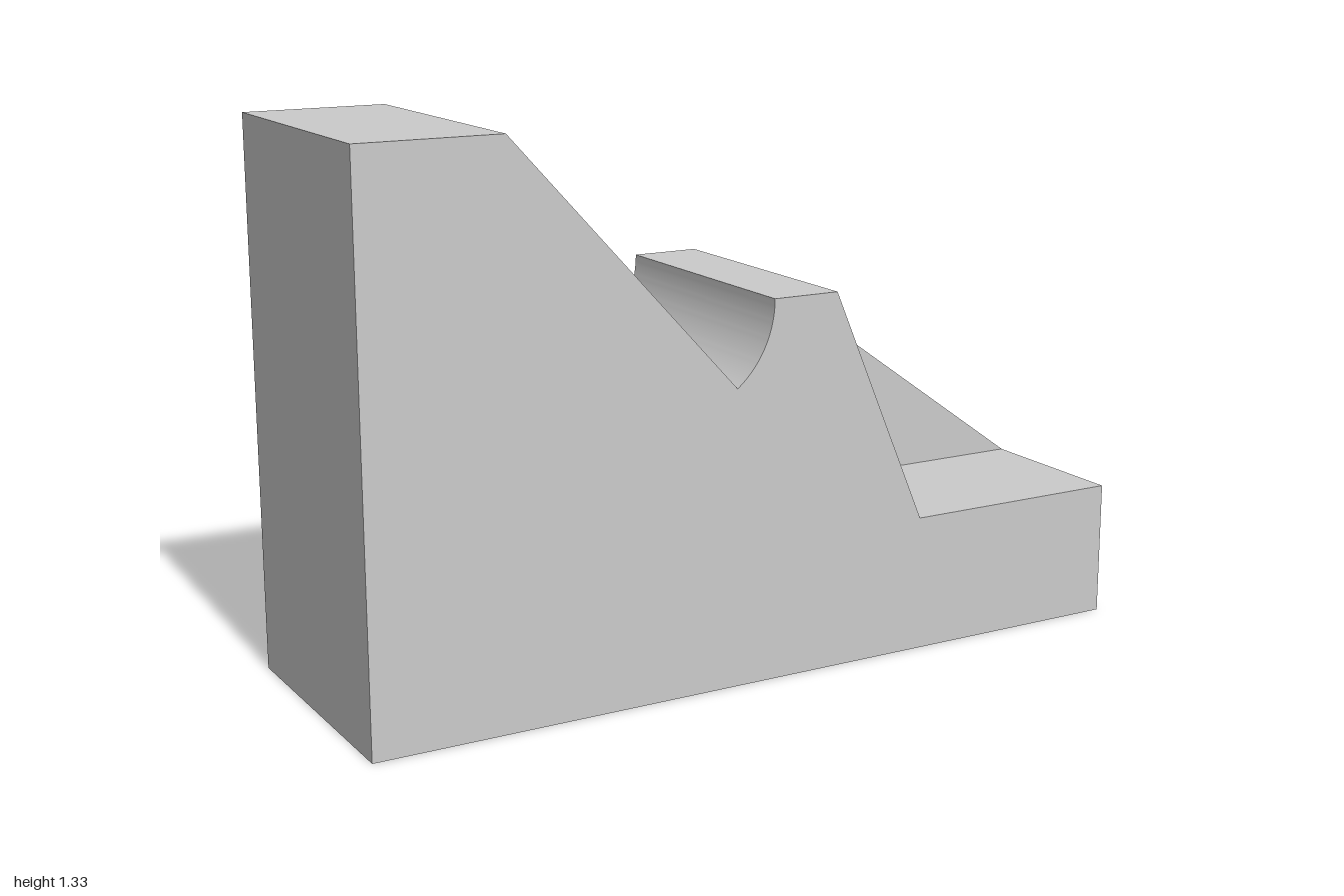
import * as THREE from 'three';
import { toCreasedNormals } from 'three/addons/utils/BufferGeometryUtils.js';

const HALF = 0.333;                 // half the depth
const STEP = 0.333, SEAT = 0.917, TOP = 1.333;
const WALL = -0.655, EDGE = 0.18;   // x of the two upright walls
const GROOVE = { x: -0.24, r: 0.25 };

export function createModel() {
  const group = new THREE.Group();
  const solid = new THREE.MeshStandardMaterial({ color: 0xcccccc });
  const thin = new THREE.MeshStandardMaterial({ color: 0xcccccc, side: THREE.DoubleSide });

  const add = (name, geometry, material, z) => {
    const mesh = new THREE.Mesh(geometry, material);
    mesh.name = name;
    mesh.position.z = z;
    group.add(mesh);
  };
  const extrude = (shape, depth) => toCreasedNormals(
    new THREE.ExtrudeGeometry(shape, { depth, bevelEnabled: false, curveSegments: 48 }), 0.5);
  const polygon = (points) => new THREE.Shape(points.map(([x, y]) => new THREE.Vector2(x, y)));

  // Stepped block with a half-round groove across its seat
  const body = new THREE.Shape();
  body.moveTo(-1, 0);
  body.lineTo(1, 0);
  body.lineTo(1, STEP);
  body.lineTo(EDGE, STEP);
  body.lineTo(EDGE, SEAT);
  body.lineTo(GROOVE.x + GROOVE.r, SEAT);
  body.absarc(GROOVE.x, SEAT, GROOVE.r, 0, Math.PI, true);
  body.lineTo(WALL, SEAT);
  body.lineTo(WALL, TOP);
  body.lineTo(-1, TOP);
  body.closePath();
  add('body', extrude(body, 2 * HALF), solid, -HALF);

  // Sloping rib along the back of the step
  add('rearRib', extrude(polygon([[EDGE, STEP], [1, STEP], [EDGE, SEAT]]), 0.25), solid, -HALF);

  // Thin web on the front face, from the tall block down to the groove
  const web = new THREE.Shape();
  web.moveTo(WALL, TOP);
  web.lineTo(WALL, SEAT);
  web.lineTo(GROOVE.x - GROOVE.r, SEAT);
  web.absarc(GROOVE.x, SEAT, GROOVE.r, Math.PI, 2 * Math.PI - 0.92, false);
  web.closePath();
  add('grooveWeb', new THREE.ShapeGeometry(web, 48), thin, HALF);

  // Thin web on the front face, from the seat down to the step
  add('stepWeb', new THREE.ShapeGeometry(polygon([[EDGE, STEP], [0.43, STEP], [EDGE, SEAT]])), thin, HALF);

  return group;
}
